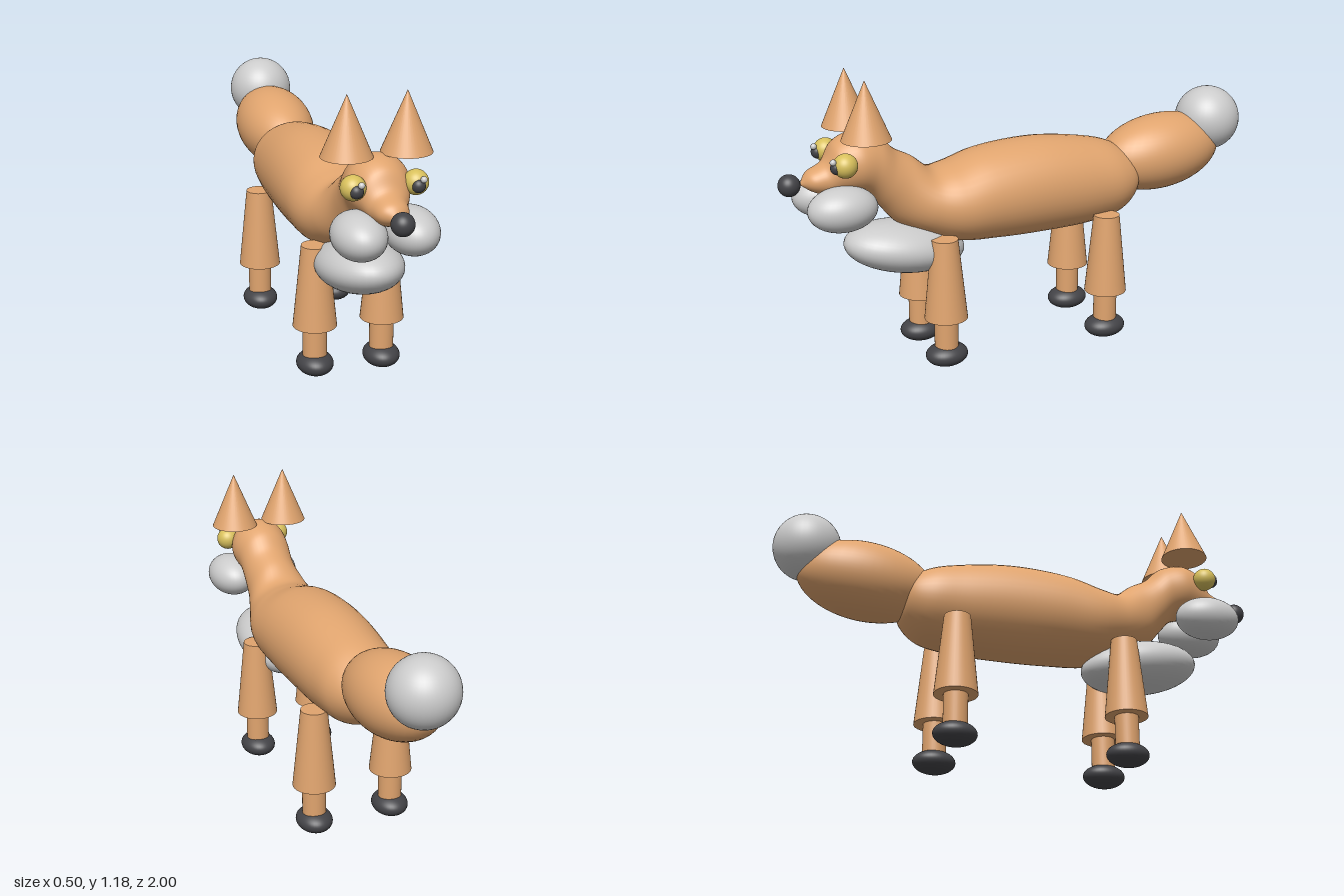
import * as THREE from 'three';

const mat = (color) => new THREE.MeshStandardMaterial({ color });
const fur = mat(0xe0a46e);
const pale = mat(0xcccccc);
const dark = mat(0x434347);
const yellow = mat(0xd8c05c);

function add(parent, name, geometry, material, x, y, z) {
  const mesh = new THREE.Mesh(geometry, material);
  mesh.name = name;
  mesh.position.set(x, y, z);
  parent.add(mesh);
  return mesh;
}

// ellipsoid with half sizes rx, ry, rz
function ellipsoid(parent, name, material, [x, y, z], [rx, ry, rz], tilt = 0) {
  const geometry = new THREE.SphereGeometry(1, 40, 28).scale(rx, ry, rz).rotateX(tilt);
  return add(parent, name, geometry, material, x, y, z);
}

// smooth skin through elliptical sections: [topZ, topY, bottomZ, bottomY, halfWidth]
function loft(sections, steps, sides) {
  const curve = (f) => new THREE.CatmullRomCurve3(sections.map(f));
  const tops = curve((s) => new THREE.Vector3(s[4], s[1], s[0]));
  const bottoms = curve((s) => new THREE.Vector3(s[4], s[3], s[2]));
  const positions = [], index = [];
  for (let i = 0; i <= steps; i++) {
    const t = tops.getPoint(i / steps), b = bottoms.getPoint(i / steps);
    for (let j = 0; j < sides; j++) {
      const a = (j / sides) * Math.PI * 2, k = (1 + Math.cos(a)) / 2;
      positions.push(
        Math.sin(a) * Math.max(t.x, 0),
        b.y + (t.y - b.y) * k,
        b.z + (t.z - b.z) * k,
      );
      if (i < steps) {
        const p = i * sides + j, q = i * sides + ((j + 1) % sides);
        index.push(p, p + sides, q, q, p + sides, q + sides);
      }
    }
  }
  const geometry = new THREE.BufferGeometry();
  geometry.setAttribute('position', new THREE.Float32BufferAttribute(positions, 3));
  geometry.setIndex(index);
  geometry.computeVertexNormals();
  return geometry;
}

export function createModel() {
  const model = new THREE.Group();
  model.name = 'fox';

  // body, neck, head and snout in one skin, from rump to snout tip
  const sections = [
    [-0.495, 0.65, -0.495, 0.64, 0.005],
    [-0.47, 0.73, -0.48, 0.55, 0.11],
    [-0.38, 0.785, -0.41, 0.485, 0.16],
    [-0.26, 0.817, -0.28, 0.457, 0.178],
    [-0.05, 0.843, -0.07, 0.451, 0.192],
    [0.19, 0.827, 0.14, 0.458, 0.195],
    [0.32, 0.79, 0.31, 0.475, 0.185],
    [0.4, 0.783, 0.45, 0.53, 0.15],
    [0.476, 0.837, 0.55, 0.585, 0.118],
    [0.545, 0.875, 0.61, 0.655, 0.11],
    [0.61, 0.935, 0.66, 0.71, 0.112],
    [0.7, 0.96, 0.71, 0.73, 0.118],
    [0.78, 0.93, 0.77, 0.73, 0.095],
    [0.825, 0.86, 0.82, 0.732, 0.07],
    [0.885, 0.828, 0.87, 0.75, 0.052],
    [0.914, 0.79, 0.914, 0.78, 0.005],
  ];
  add(model, 'body', loft(sections, 120, 40), fur, 0, 0, 0);

  // chest and tail
  ellipsoid(model, 'chest', pale, [0, 0.478, 0.51], [0.16, 0.102, 0.245], -0.155);
  ellipsoid(model, 'tail', fur, [0, 0.707, -0.63], [0.16, 0.156, 0.275], 0.1);
  ellipsoid(model, 'tailTip', pale, [0, 0.821, -0.866], [0.134, 0.134, 0.134]);
  ellipsoid(model, 'nose', dark, [0, 0.785, 0.957], [0.042, 0.042, 0.042]);

  for (const [side, s] of [['left', 1], ['right', -1]]) {
    // face
    ellipsoid(model, side + 'Cheek', pale, [s * 0.097, 0.697, 0.786], [0.098, 0.086, 0.134]);
    ellipsoid(model, side + 'Eye', yellow, [s * 0.115, 0.868, 0.775], [0.046, 0.046, 0.046]);
    ellipsoid(model, side + 'Pupil', dark, [s * 0.113, 0.864, 0.806], [0.026, 0.026, 0.026]);
    ellipsoid(model, side + 'EyeGlint', pale, [s * 0.113 + 0.012, 0.89, 0.825], [0.012, 0.012, 0.012]);
    add(model, side + 'Ear', new THREE.ConeGeometry(0.094, 0.223, 40), fur, s * 0.111, 1.0665, 0.69);

    // legs: the hind pair stands a little wider
    for (const [end, x, z] of [['Front', 0.135, 0.398], ['Hind', 0.165, -0.295]]) {
      const leg = new THREE.Group();
      leg.name = side + end + 'Leg';
      leg.position.set(s * x, 0, z);
      add(leg, 'thigh', new THREE.CylinderGeometry(0.052, 0.085, 0.325, 36), fur, 0, 0.366, 0);
      add(leg, 'shin', new THREE.CylinderGeometry(0.047, 0.047, 0.16, 32), fur, 0, 0.13, 0);
      ellipsoid(leg, 'paw', dark, [0, 0.047, 0], [0.071, 0.046, 0.085]);
      model.add(leg);
    }
  }
  return model;
}
